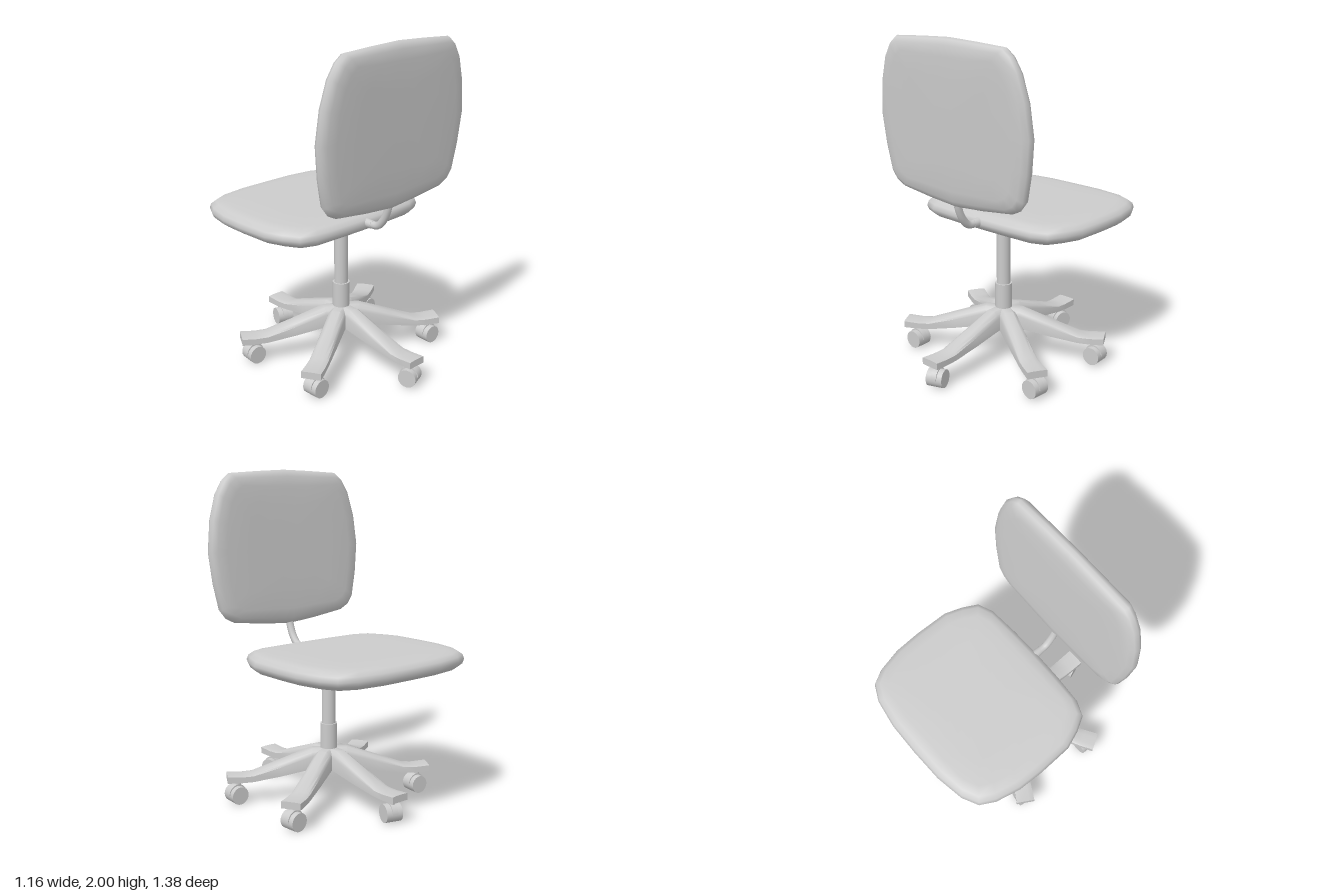
import * as THREE from 'three';
import { mergeVertices, toCreasedNormals } from 'three/addons/utils/BufferGeometryUtils.js';

const material = new THREE.MeshStandardMaterial({ color: 0xcccccc });
const HUB_Z = 0.05;

function part(name, geometry, parent) {
  const mesh = new THREE.Mesh(geometry, material);
  mesh.name = name;
  parent.add(mesh);
  return mesh;
}

// Skin over equal-length rings of points, each counterclockwise about the direction of travel
function loft(rings) {
  const n = rings[0].length;
  const position = rings.flat().flatMap((p) => p.toArray());
  const index = [];
  for (let i = 0; i < rings.length - 1; i++) {
    for (let j = 0; j < n; j++) {
      const k = (j + 1) % n;
      const a = i * n + j, b = i * n + k, c = b + n, d = a + n;
      index.push(a, b, c, a, c, d);
    }
  }
  const geometry = new THREE.BufferGeometry();
  geometry.setAttribute('position', new THREE.Float32BufferAttribute(position, 3));
  geometry.setIndex(index);
  const merged = mergeVertices(geometry, 1e-4);
  merged.computeVertexNormals();
  return merged;
}

// Padded cushion: half outline (from +y round +x to -y), centre height, thickness along z
function cushion(half, centreY, thickness) {
  const outline = [...half, ...half.slice(1, -1).reverse().map(([x, y]) => [-x, y])].reverse();
  // [inset from the rim, height in half thicknesses]
  const rim = [[1, -1], [0.25, -1], [0.1, -0.95], [0.04, -0.8], [0.01, -0.45], [0, 0],
    [0.01, 0.45], [0.04, 0.8], [0.1, 0.95], [0.25, 1], [1, 1]];
  return loft(rim.map(([inset, h]) => outline.map(([x, y]) => {
    const dy = y - centreY;
    const s = Math.max(0, 1 - inset / Math.hypot(x, dy));
    return new THREE.Vector3(x * s, centreY + dy * s, h * thickness / 2);
  })));
}

// Leg running out along +z, with a rounded top that flattens towards the tip
function legGeometry() {
  // [distance, top, bottom, half width, shoulder drop]
  const stations = [
    [0, 0.32, 0.21, 0.055, 0.04], [0.11, 0.32, 0.2, 0.055, 0.04],
    [0.3, 0.252, 0.165, 0.055, 0.03], [0.47, 0.188, 0.14, 0.056, 0.012],
    [0.54, 0.178, 0.138, 0.058, 0.004], [0.628, 0.183, 0.14, 0.059, 0.003],
  ];
  const rings = stations.map(([z, top, bottom, w, drop]) => [
    [-w, bottom], [w, bottom], [w, top - drop], [w * 0.85, top - drop * 0.45], [w * 0.45, top],
    [-w * 0.45, top], [-w * 0.85, top - drop * 0.45], [-w, top - drop],
  ].map(([x, y]) => new THREE.Vector3(x, y, z)));
  const cap = (ring) => ring.map(() => new THREE.Vector3(0, (ring[0].y + ring[4].y) / 2, ring[0].z));
  return toCreasedNormals(loft([cap(rings[0]), ...rings, cap(rings.at(-1))]), 0.7);
}

export function createModel() {
  const model = new THREE.Group();
  model.name = 'swivelChair';

  // Seat cushion, laid flat
  const seat = part('seat', cushion([
    [0, 0.685], [0.21, 0.68], [0.39, 0.65], [0.49, 0.6], [0.54, 0.51], [0.575, 0.36], [0.582, 0.2],
    [0.575, -0.02], [0.535, -0.13], [0.485, -0.22], [0.39, -0.26], [0.2, -0.273], [0, -0.278],
  ], 0.2, 0.12), model);
  seat.rotation.x = -Math.PI / 2;
  seat.position.y = 0.91;

  // Backrest cushion, leaning slightly
  const backGeometry = cushion([
    [0, 2], [0.2, 1.992], [0.41, 1.98], [0.46, 1.94], [0.51, 1.86], [0.555, 1.71], [0.577, 1.52],
    [0.555, 1.33], [0.52, 1.17], [0.48, 1.12], [0.42, 1.09], [0.2, 1.062], [0, 1.045],
  ], 1.52, 0.1);
  const p = backGeometry.attributes.position;
  for (let i = 0; i < p.count; i++) p.setZ(i, p.getZ(i) + 0.457 + (p.getY(i) - 1.52) * 0.05);
  backGeometry.computeVertexNormals();
  part('backrest', backGeometry, model);

  // Bent bar joining seat and backrest
  const barPath = new THREE.CatmullRomCurve3([
    [0.2, 0.915], [0.28, 0.915], [0.35, 0.92], [0.395, 0.965], [0.425, 1.03], [0.44, 1.1],
  ].map(([z, y]) => new THREE.Vector3(0, y, z)));
  part('backrestBar', new THREE.TubeGeometry(barPath, 24, 0.023, 10), model);
  const socket = part('barSocket', new THREE.CylinderGeometry(0.024, 0.034, 0.12, 12), model);
  socket.rotation.x = Math.PI / 2;
  socket.position.set(0, 0.914, 0.25);

  // Gas column
  const base = new THREE.Group();
  base.name = 'base';
  base.position.z = HUB_Z;
  model.add(base);
  part('columnSleeve', new THREE.CylinderGeometry(0.052, 0.052, 0.265, 24), base).position.y = 0.3425;
  part('columnPiston', new THREE.CylinderGeometry(0.042, 0.042, 0.42, 24), base).position.y = 0.61;

  // Six legs, each with a swivelling caster
  const legShape = legGeometry();
  const stemShape = new THREE.CylinderGeometry(0.018, 0.018, 0.07, 12);
  const wheelShape = new THREE.CylinderGeometry(0.055, 0.055, 0.1, 20).rotateZ(Math.PI / 2);
  const hoodShape = new THREE.CylinderGeometry(0.059, 0.059, 0.035, 16, 1, false, -Math.PI / 2, Math.PI)
    .rotateZ(Math.PI / 2);
  const swivels = [0.35, 1.5, 1.65, -0.3, 1.45, 1.6];
  for (let i = 0; i < 6; i++) {
    const angle = i * Math.PI / 3;
    const arm = new THREE.Group();
    arm.name = 'legAssembly';
    arm.rotation.y = angle;
    base.add(arm);
    part('leg', legShape, arm);

    const caster = new THREE.Group();
    caster.name = 'caster';
    caster.position.z = 0.562;
    caster.rotation.y = swivels[i] - angle;
    arm.add(caster);
    part('casterStem', stemShape, caster).position.y = 0.115;
    part('casterWheel', wheelShape, caster).position.set(0, 0.055, 0.012);
    const hood = part('casterHood', hoodShape, caster);
    hood.position.set(0, 0.059, 0.012);
    hood.rotation.x = -Math.PI / 2;
  }
  return model;
}
